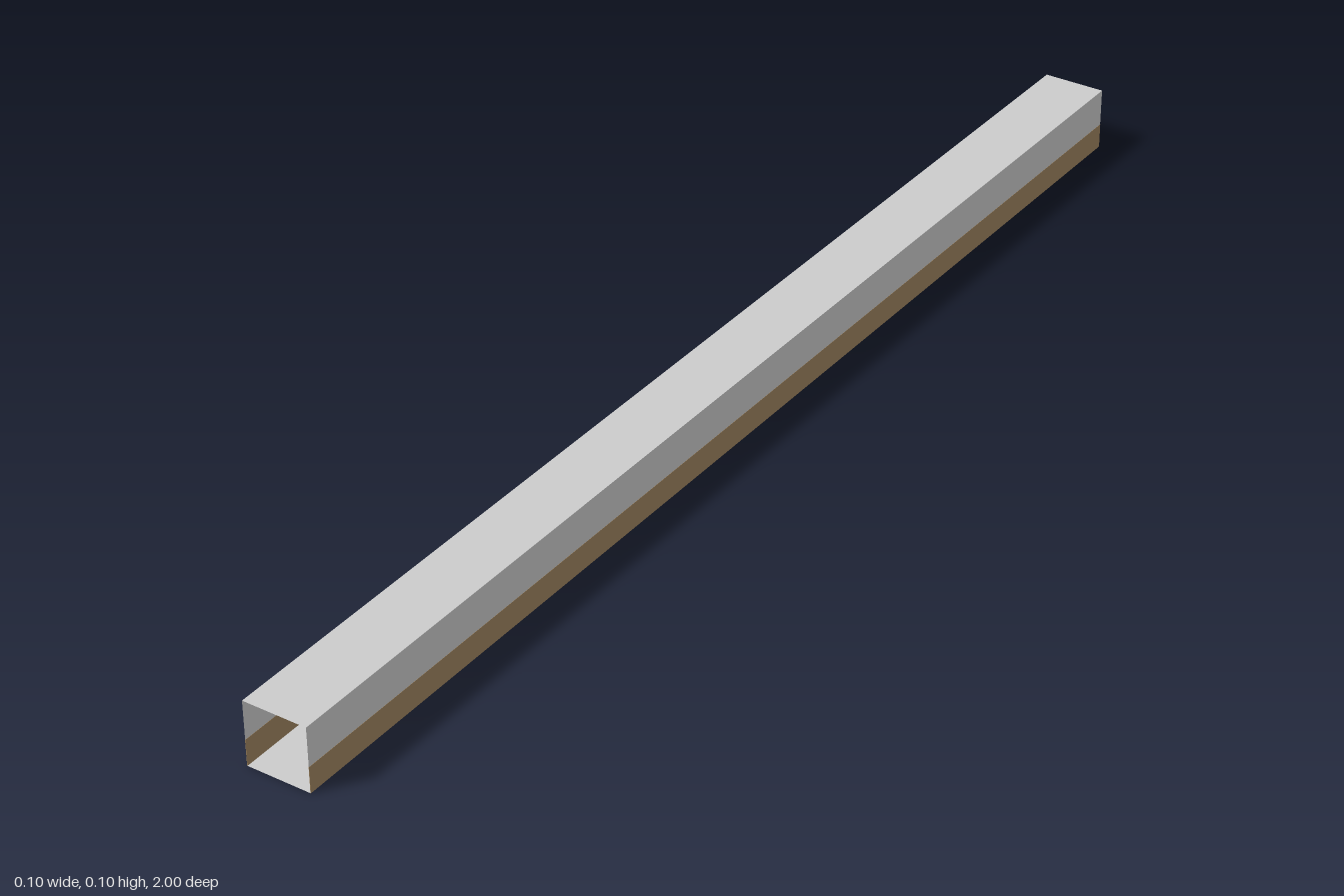
import * as THREE from 'three';

const LENGTH = 2, WIDTH = 0.1, HEIGHT = 0.1, PANEL = 0.04;

export function createModel() {
  const group = new THREE.Group();
  const grey = new THREE.MeshStandardMaterial({ color: 0xcccccc, side: THREE.DoubleSide });
  const brown = new THREE.MeshStandardMaterial({ color: 0xa08560 });

  const add = (name, geometry, material, x, y, z) => {
    const mesh = new THREE.Mesh(geometry, material);
    mesh.name = name;
    mesh.position.set(x, y, z);
    group.add(mesh);
  };

  // Floor and ceiling sheets of the open-ended corridor
  add('floor', new THREE.PlaneGeometry(WIDTH, LENGTH).rotateX(-Math.PI / 2), grey, 0, 0, 0);
  add('ceiling', new THREE.PlaneGeometry(WIDTH, LENGTH).rotateX(-Math.PI / 2), grey, 0, HEIGHT, 0);

  // Side walls: grey above, brown wainscot panel below
  for (const [side, s] of [['left', 1], ['right', -1]]) {
    const upper = HEIGHT - PANEL;
    add(side + 'Wall', new THREE.PlaneGeometry(LENGTH, upper).rotateY(s * Math.PI / 2),
      grey, s * WIDTH / 2, PANEL + upper / 2, 0);
    add(side + 'Wainscot', new THREE.BoxGeometry(0.0006, PANEL, LENGTH),
      brown, s * WIDTH / 2, PANEL / 2, 0);
  }

  // Row of flat round lamps under the ceiling
  const lamp = new THREE.CylinderGeometry(0.01, 0.01, 0.001, 24);
  for (let i = 0; i < 20; i++) {
    add('ceilingLamp' + (i + 1), lamp, grey, 0, HEIGHT - 0.0007, -0.95 + i * 0.1);
  }
  return group;
}
